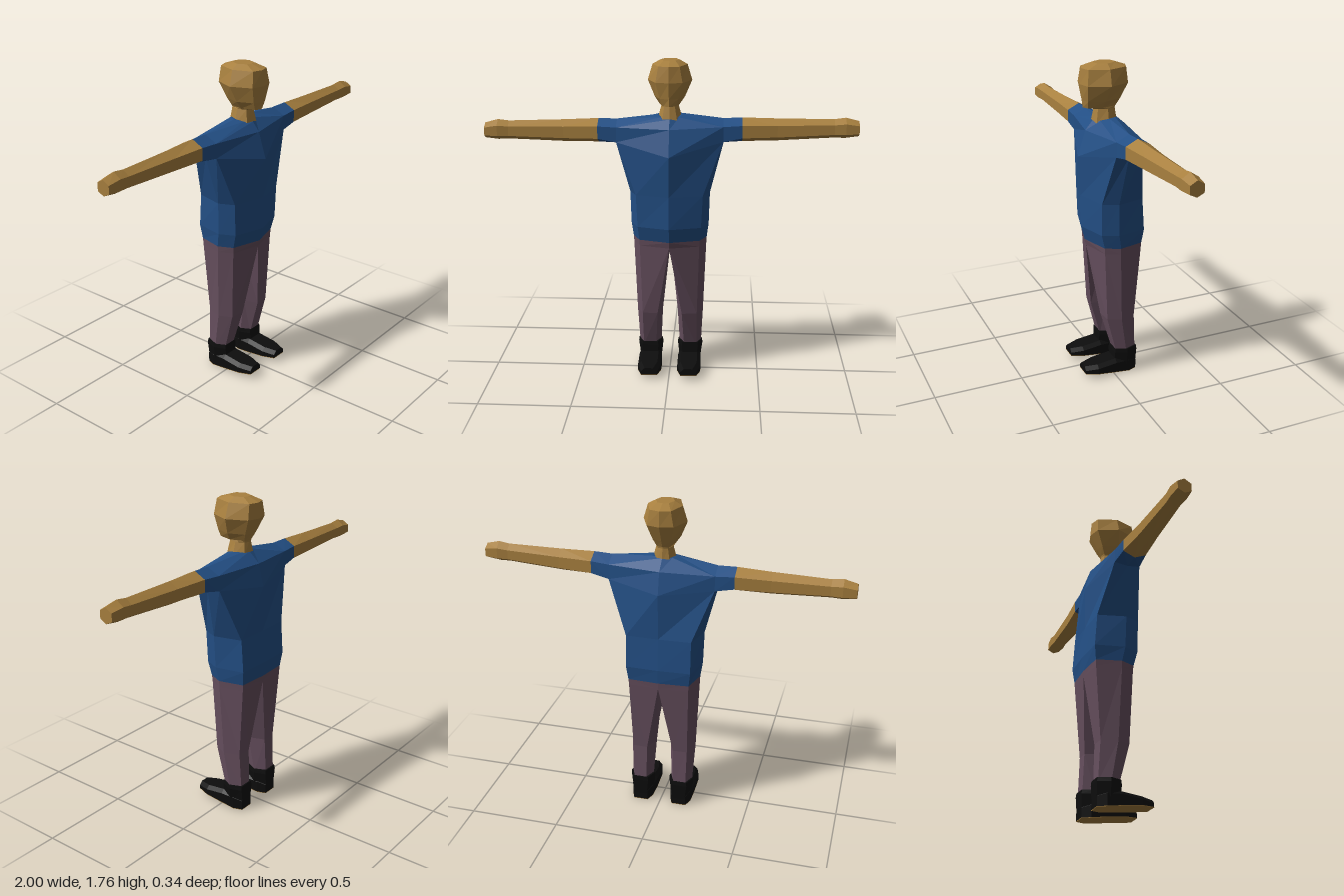
import * as THREE from 'three';

const mat = (name, color) => {
  const m = new THREE.MeshStandardMaterial({ color });
  m.name = name;
  return m;
};

// Closed, faceted skin over a list of rings with equal point counts
function loft(rings) {
  const tris = [];
  const n = rings[0].length;
  const V = rings.map(r => r.map(p => new THREE.Vector3(...p)));
  for (let i = 0; i < V.length - 1; i++) {
    for (let j = 0; j < n; j++) {
      const k = (j + 1) % n;
      const a = V[i][j], b = V[i][k], c = V[i + 1][k], d = V[i + 1][j];
      tris.push([a, b, c], [a, c, d]);
    }
  }
  const cap = (ring, turned) => {
    const mid = ring.reduce((s, p) => s.add(p), new THREE.Vector3()).divideScalar(n);
    ring.forEach((p, j) => {
      const q = ring[(j + 1) % n];
      tris.push(turned ? [mid, p, q] : [mid, q, p]);
    });
  };
  cap(V[0], false);
  cap(V[V.length - 1], true);
  // Turn all faces outward, whichever way the rings run
  const cross = new THREE.Vector3();
  const volume = tris.reduce((s, [a, b, c]) => s + a.dot(cross.crossVectors(b, c)), 0);
  const pos = [];
  for (const [a, b, c] of tris) {
    for (const p of volume < 0 ? [a, c, b] : [a, b, c]) pos.push(p.x, p.y, p.z);
  }
  const g = new THREE.BufferGeometry();
  g.setAttribute('position', new THREE.Float32BufferAttribute(pos, 3));
  g.computeVertexNormals();
  return g;
}

const mirror = rings => rings.map(r => r.map(([x, y, z]) => [-x, y, z]));
// Half ring from front centre to back centre, completed on the other side
const whole = half => [...half, ...half.slice(1, -1).reverse().map(([x, y, z]) => [-x, y, z])];
// Slight tilt of the shoulder line
const tilt = rings => rings.map(r => r.map(([x, y, z]) => [x, y > 1.2 ? y + 0.015 * x : y, z]));

export function createModel() {
  const skin = mat('skin', 0xa8803f);
  const shirt = mat('shirtBlue', 0x234f85);
  const cloth = mat('trouserMauve', 0x664f5e);
  const black = mat('bootBlack', 0x0d0d0d);

  const model = new THREE.Group();
  model.name = 'figure';
  const add = (name, rings, material) => {
    const mesh = new THREE.Mesh(loft(rings), material);
    mesh.name = name;
    model.add(mesh);
  };

  // Shirt body: front centre, front corner, side, back corner, back centre
  const hem = [[0, 0.79, 0.108], [0.165, 0.79, 0.06], [0.202, 0.79, -0.02], [0.168, 0.79, -0.155], [0, 0.79, -0.165]];
  const chest = [[0, 1.27, 0.145], [0.285, 1.335, 0.05], [0.288, 1.325, -0.02], [0.285, 1.335, -0.095], [0, 1.3, -0.16]];
  const shoulder = [[0, 1.41, 0.1], [0.285, 1.415, 0.05], [0.285, 1.45, -0.02], [0.285, 1.415, -0.092], [0, 1.42, -0.13]];
  const torso = [
    hem,
    [[0, 0.87, 0.13], [0.172, 0.87, 0.08], [0.212, 0.87, -0.005], [0.178, 0.87, -0.165], [0, 0.87, -0.172]],
    [[0, 1.05, 0.13], [0.18, 1.05, 0.083], [0.217, 1.05, 0], [0.178, 1.05, -0.153], [0, 1.05, -0.158]],
    chest,
    shoulder,
    [[0, 1.458, 0.06], [0.05, 1.465, 0.035], [0.07, 1.475, -0.01], [0.05, 1.475, -0.05], [0, 1.475, -0.068]],
  ];
  add('shirtBody', tilt(torso.map(whole)), shirt);

  // Sleeves and arms: hexagonal sections [x, bottom, top, front, back]
  const armRings = [
    [0.385, 1.325, 1.453, 0.045, -0.085],
    [0.57, 1.328, 1.447, 0.03, -0.07],
    [0.87, 1.343, 1.442, 0.02, -0.056],
    [0.93, 1.341, 1.45, 0.025, -0.06],
    [1, 1.35, 1.432, 0.02, -0.054],
  ].map(([x, b, t, f, k]) => {
    const up = b + 0.74 * (t - b), low = b + 0.22 * (t - b), m = (f + k) / 2;
    return [[x, t, m], [x, up, f], [x, low, f], [x, b, m], [x, low, k], [x, up, k]];
  });
  const armhole = [shoulder[2], shoulder[1], chest[1], chest[2], chest[3], shoulder[3]];
  const sleeve = [armhole, armRings[0]];

  // Head and neck: sections [y, half width, front, back]
  const head = [
    [1.45, 0.066, 0.06, -0.075],
    [1.525, 0.046, 0.045, -0.065],
    [1.535, 0.052, 0.114, -0.067],
    [1.575, 0.08, 0.119, -0.088],
    [1.66, 0.117, 0.13, -0.13],
    [1.742, 0.092, 0.12, -0.125],
    [1.765, 0.05, 0.05, -0.06],
  ].map(([y, w, f, b]) => whole([
    [0, y, f], [w * 0.6, y, f * 0.86], [w, y, (f + b) / 2], [w * 0.6, y, b * 0.86], [0, y, b],
  ]));
  add('headAndNeck', head, skin);

  // Trouser leg: front inner, front outer, side, back outer, back inner, inside
  const leg = [
    [...hem, [0, 0.79, -0.03]],
    [[0, 0.755, 0.1], [0.163, 0.755, 0.057], [0.2, 0.755, -0.02], [0.166, 0.755, -0.153], [0, 0.755, -0.162], [0, 0.755, -0.03]],
    [[0.068, 0.35, 0.045], [0.152, 0.35, 0.038], [0.185, 0.35, -0.035], [0.155, 0.35, -0.122], [0.075, 0.35, -0.125], [0.042, 0.35, -0.035]],
    [[0.08, 0.13, -0.018], [0.15, 0.13, -0.018], [0.175, 0.13, -0.07], [0.15, 0.13, -0.132], [0.08, 0.13, -0.132], [0.053, 0.13, -0.07]],
  ];

  // Boot shaft: sections [y, inner x, outer x, front z, back z]
  const shaft = [
    [0.04, 0.052, 0.172, -0.005, -0.138],
    [0.13, 0.042, 0.184, -0.008, -0.14],
    [0.152, 0.045, 0.181, -0.01, -0.138],
  ].map(([y, a, b, f, k]) => {
    const c = 0.025, m = (f + k) / 2;
    return [[a + c, y, f], [b - c, y, f], [b, y, m], [b - c, y, k], [a + c, y, k], [a, y, m]];
  });

  // Foot and sole: sections [z, inner x, outer x, bottom, top]
  const footParts = [
    [-0.138, 0.072, 0.152, 0.003, 0.075],
    [-0.09, 0.052, 0.172, 0.005, 0.09],
    [-0.01, 0.046, 0.176, 0.015, 0.092],
    [0.1, 0.046, 0.176, 0.027, 0.078],
    [0.17, 0.066, 0.154, 0.031, 0.07],
  ];
  const foot = footParts.map(([z, a, b, y0, y1]) => [
    [a, y0, z], [b, y0, z], [b, y1 - 0.02, z], [b - 0.02, y1, z], [a + 0.02, y1, z], [a, y1 - 0.02, z],
  ]);
  const sole = footParts.map(([z, a, b, y]) => [[a, y - 0.003, z], [b, y - 0.003, z], [b, y, z], [a, y, z]]);

  // Paired parts
  for (const [side, place] of [['left', r => r], ['right', mirror]]) {
    add(side + 'Sleeve', tilt(place(sleeve)), shirt);
    add(side + 'Arm', tilt(place(armRings)), skin);
    add(side + 'TrouserLeg', place(leg), cloth);
    add(side + 'BootShaft', place(shaft), black);
    add(side + 'BootFoot', place(foot), black);
    add(side + 'BootSole', place(sole), skin);
  }
  return model;
}
